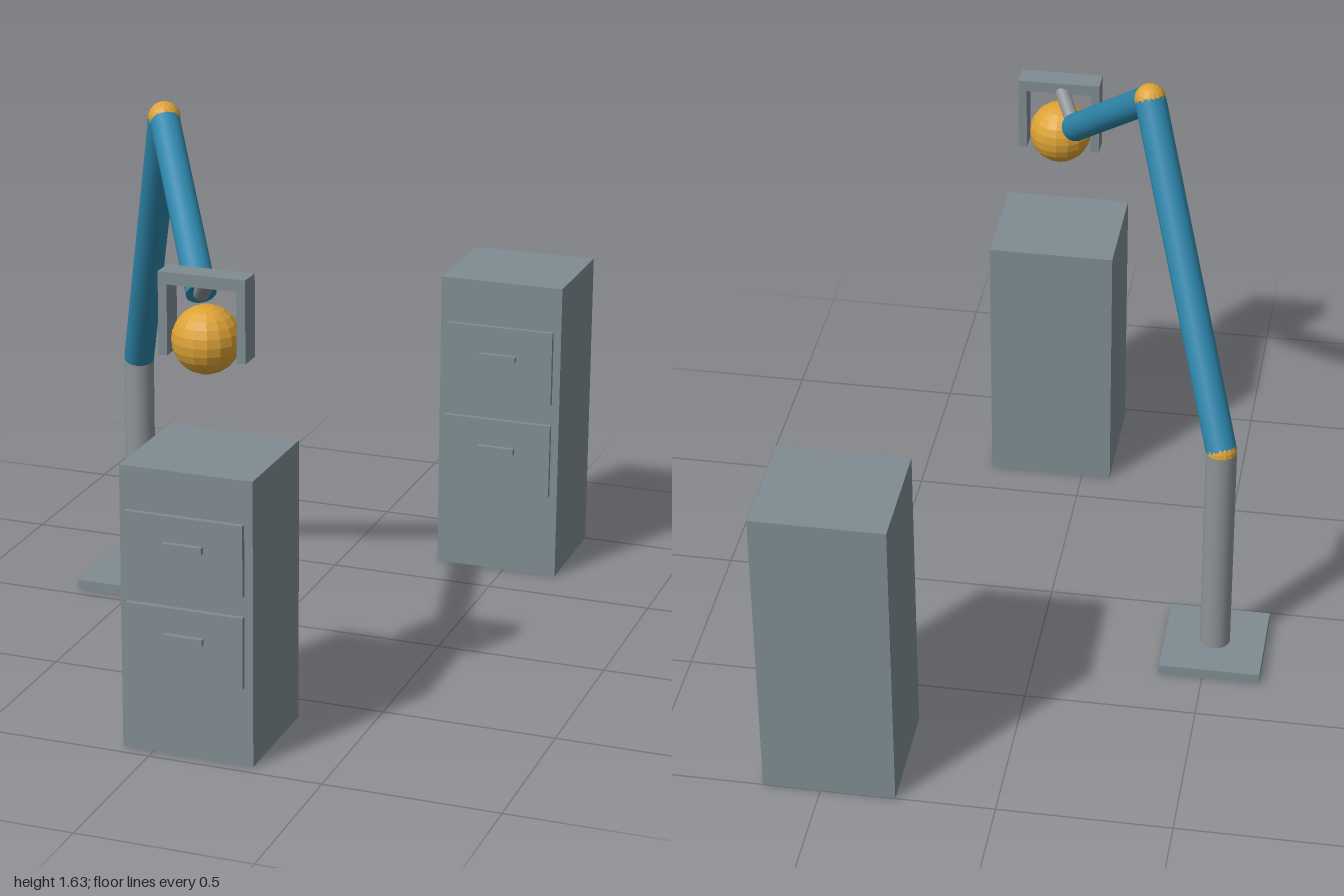
import * as THREE from 'three';

const mat = (name, color, opts = {}) => {
  const m = new THREE.MeshStandardMaterial({ color, ...opts });
  m.name = name;
  return m;
};

export function createModel() {
  const root = new THREE.Group();
  root.name = 'robotArmAndCabinets';
  const slate = mat('slateGrey', 0x7f8c91);
  const steel = mat('steelGrey', 0x8d9396);
  const blue = mat('armBlue', 0x2e86ab);
  const gold = mat('gold', 0xdca236, { flatShading: true });

  const add = (parent, name, geometry, material, x, y, z) => {
    const mesh = new THREE.Mesh(geometry, material);
    mesh.name = name;
    mesh.position.set(x, y, z);
    parent.add(mesh);
    return mesh;
  };
  const box = (parent, name, w, h, d, material, x, y, z) =>
    add(parent, name, new THREE.BoxGeometry(w, h, d), material, x, y, z);
  const ball = (parent, name, r, p) =>
    add(parent, name, new THREE.SphereGeometry(r, 16, 12), gold, p.x, p.y, p.z);

  // Round bar running between two points
  const bar = (parent, name, a, b, r, material) => {
    const dir = b.clone().sub(a);
    const mid = a.clone().add(b).multiplyScalar(0.5);
    const mesh = add(parent, name, new THREE.CylinderGeometry(r, r, dir.length(), 24), material, mid.x, mid.y, mid.z);
    mesh.quaternion.setFromUnitVectors(new THREE.Vector3(0, 1, 0), dir.normalize());
  };

  // Arm: foot plate, column, two limbs and their joints
  const arm = new THREE.Group();
  arm.name = 'arm';
  root.add(arm);
  const foot = new THREE.Vector3(-0.52, 0.03, -0.187);
  const shoulder = new THREE.Vector3(-0.52, 0.715, -0.187);
  const elbow = new THREE.Vector3(-0.24, 1.588, 0.265);
  const wrist = new THREE.Vector3(0.04, 1.228, 0.692);
  box(arm, 'footPlate', 0.297, 0.03, 0.297, slate, foot.x, 0.015, foot.z);
  bar(arm, 'column', foot, shoulder, 0.045, steel);
  ball(arm, 'shoulderJoint', 0.0455, shoulder);
  bar(arm, 'upperArm', shoulder, elbow, 0.045, blue);
  ball(arm, 'elbowJoint', 0.0455, elbow);
  bar(arm, 'forearm', elbow, wrist, 0.042, blue);
  bar(arm, 'wristRod', wrist, new THREE.Vector3(0.1, 1.3, 0.8), 0.022, steel);

  // Gripper holding a ball
  const gripper = new THREE.Group();
  gripper.name = 'gripper';
  gripper.position.set(0.102, 0, 0.811);
  root.add(gripper);
  box(gripper, 'gripperBridge', 0.247, 0.034, 0.07, slate, 0, 1.309, 0);
  for (const side of [-1, 1]) {
    box(gripper, side > 0 ? 'leftFinger' : 'rightFinger', 0.025, 0.197, 0.07, slate, side * 0.111, 1.1945, 0);
  }
  ball(gripper, 'heldBall', 0.094, new THREE.Vector3(0, 1.142, 0));

  // Cabinets with two drawers each, proportioned to their height
  const cabinet = (name, x, z, h) => {
    const g = new THREE.Group();
    g.name = name;
    g.position.set(x, 0, z);
    root.add(g);
    box(g, 'cabinetBody', 0.38, h, 0.35, slate, 0, h / 2, 0);
    for (const [label, level] of [['upper', 0.728], ['lower', 0.408]]) {
      box(g, label + 'Drawer', 0.336, h * 0.248, 0.015, slate, 0, h * level, 0.1875);
      box(g, label + 'Handle', 0.113, 0.019, 0.015, slate, 0, h * (level + 0.0235), 0.2025);
    }
  };
  cabinet('frontCabinet', 0.101, 0.79, 0.817);
  cabinet('rearCabinet', 0.475, -0.825, 0.925);

  return root;
}
